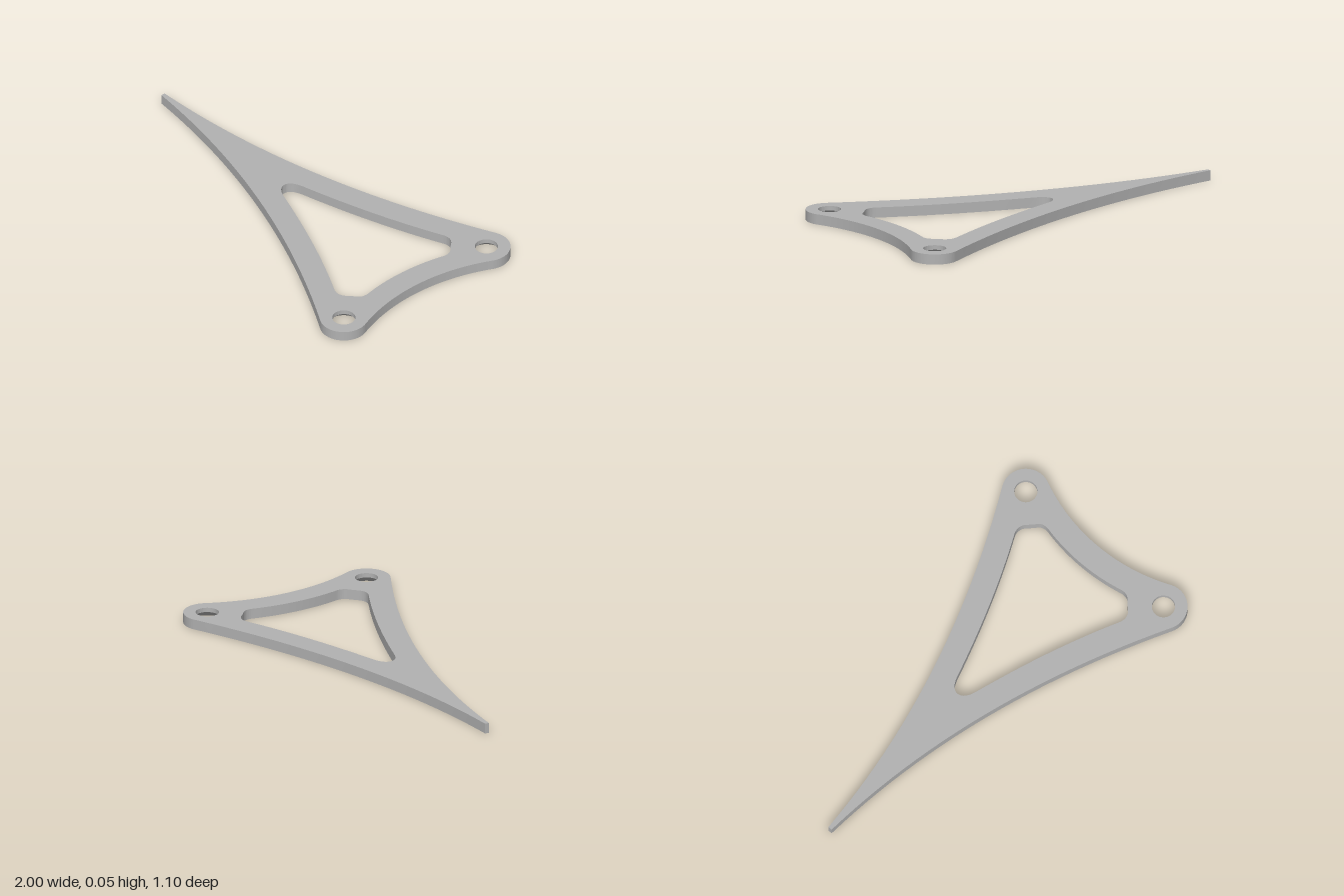
import * as THREE from 'three';
import { mergeGeometries, toCreasedNormals } from 'three/addons/utils/BufferGeometryUtils.js';

const H = 0.05;                       // plate thickness
const BOSS = { x: 0.884, z: 0.436, r: 0.114 };
const HOLE_TOP = 0.055, HOLE_BOTTOM = 0.083, SINK = 0.028;

// Closes a half outline (y >= 0) by mirroring it across the x axis.
function mirrorLoop(half) {
  const back = half.filter(p => p.y > 1e-6).map(p => new THREE.Vector2(p.x, -p.y)).reverse();
  return [...half, ...back];
}

function outerLoop() {
  const p = new THREE.Path();
  const cx = 1.859, R = 0.954;        // concave rear edge
  const a = Math.atan2(BOSS.z, cx - BOSS.x);
  p.moveTo(cx - R, 0);
  p.absarc(cx, 0, R, Math.PI, Math.PI - a, true);
  p.absarc(BOSS.x, BOSS.z, BOSS.r, -a, Math.PI / 2 + 0.482, false);
  p.quadraticCurveTo(-0.0845, 0.06, -1, 0.01);
  return mirrorLoop(p.getPoints(24));
}

function windowLoop() {
  const p = new THREE.Path();
  p.moveTo(0.787, 0);
  p.quadraticCurveTo(0.787, 0.118, 0.814, 0.235);
  p.quadraticCurveTo(0.818, 0.27, 0.795, 0.288);
  p.quadraticCurveTo(0.775, 0.305, 0.757, 0.325);
  p.quadraticCurveTo(0.725, 0.352, 0.685, 0.332);
  p.quadraticCurveTo(0.372, 0.179, -0.03, 0.058);
  p.bezierCurveTo(-0.07, 0.045, -0.092, 0.025, -0.092, 0);
  return mirrorLoop(p.getPoints(12));
}

// Flat face with the window and two round holes cut out.
function face(outer, inner, holeRadius) {
  const shape = new THREE.Shape(outer);
  shape.holes.push(new THREE.Path(inner));
  for (const s of [1, -1]) {
    const hole = new THREE.Path();
    hole.absarc(BOSS.x, s * BOSS.z, holeRadius, 0, Math.PI * 2, true);
    shape.holes.push(hole);
  }
  const g = new THREE.ShapeGeometry(shape, 32).toNonIndexed();
  g.deleteAttribute('uv');
  return g;
}

// Upright wall along a closed loop; faces outward for a counter-clockwise loop.
function wall(loop) {
  const pos = [];
  loop.forEach((a, i) => {
    const b = loop[(i + 1) % loop.length];
    if (a.distanceTo(b) < 1e-6) return;
    pos.push(a.x, a.y, 0, b.x, b.y, 0, b.x, b.y, H, a.x, a.y, 0, b.x, b.y, H, a.x, a.y, H);
  });
  const g = new THREE.BufferGeometry();
  g.setAttribute('position', new THREE.Float32BufferAttribute(pos, 3));
  g.computeVertexNormals();
  return g.rotateX(-Math.PI / 2);
}

export function createModel() {
  const group = new THREE.Group();
  group.name = 'triangularBracket';
  const grey = new THREE.MeshStandardMaterial({ color: 0xb2b2b2 });
  grey.name = 'grey';

  // Plate: top, underside, outer edge and window edge
  const outer = outerLoop(), inner = windowLoop();
  const plate = new THREE.Mesh(toCreasedNormals(mergeGeometries([
    face(outer, inner, HOLE_TOP).rotateX(-Math.PI / 2).translate(0, H, 0),
    face(outer, inner, HOLE_BOTTOM).rotateX(Math.PI / 2),
    wall(outer),
    wall([...inner].reverse()),
  ]), 0.6), grey);
  plate.name = 'plate';
  group.add(plate);

  // Countersunk screw holes, wide on the underside
  const profile = [[HOLE_TOP, H], [HOLE_TOP, SINK], [HOLE_BOTTOM, 0]].map(p => new THREE.Vector2(...p));
  const sink = toCreasedNormals(new THREE.LatheGeometry(profile, 64), 0.5);
  for (const [name, s] of [['frontScrewHole', 1], ['backScrewHole', -1]]) {
    const hole = new THREE.Mesh(sink, grey);
    hole.name = name;
    hole.position.set(BOSS.x, 0, s * BOSS.z);
    group.add(hole);
  }
  return group;
}
